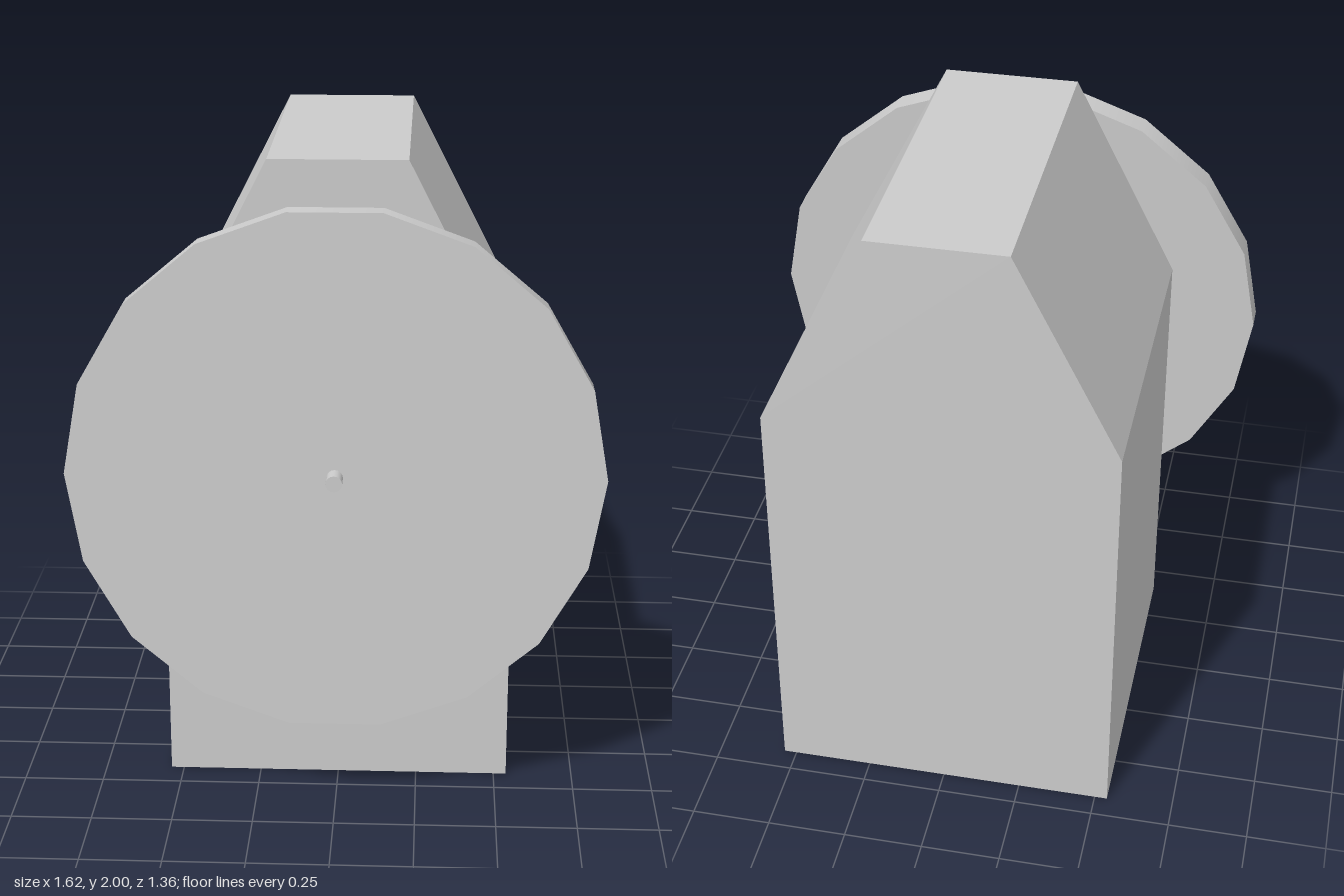
import * as THREE from 'three';

const material = new THREE.MeshStandardMaterial({ color: 0xcccccc });

// Cylinder lying along z
function zCylinder(name, radius, length, sides, y, z) {
  const geometry = new THREE.CylinderGeometry(radius, radius, length, sides, 1, false, Math.PI / 2);
  geometry.rotateX(Math.PI / 2);
  const mesh = new THREE.Mesh(geometry, material);
  mesh.name = name;
  mesh.position.set(0, y, z);
  return mesh;
}

export function createModel() {
  const model = new THREE.Group();
  model.name = 'model';
  const axisY = 1.087;

  // Block with sloping shoulders and a narrow flat top
  const backZ = -0.675, frontZ = 0.405;
  const outline = new THREE.Shape([
    [-0.54, 0], [0.54, 0], [0.54, 1.355], [0.21, 2], [-0.21, 2], [-0.54, 1.355],
  ].map(([x, y]) => new THREE.Vector2(x, y)));
  const bodyGeometry = new THREE.ExtrudeGeometry(outline, { depth: frontZ - backZ, bevelEnabled: false });
  bodyGeometry.translate(0, 0, backZ);
  const body = new THREE.Mesh(bodyGeometry, material);
  body.name = 'body';
  model.add(body);

  // Axle from the body through the disc
  model.add(zCylinder('axle', 0.025, 0.3, 16, axisY, 0.53));

  // Disc, its top leaning slightly back
  const disc = zCylinder('disc', 0.81, 0.08, 18, axisY, 0.585);
  disc.rotation.x = -0.035;
  model.add(disc);

  return model;
}
